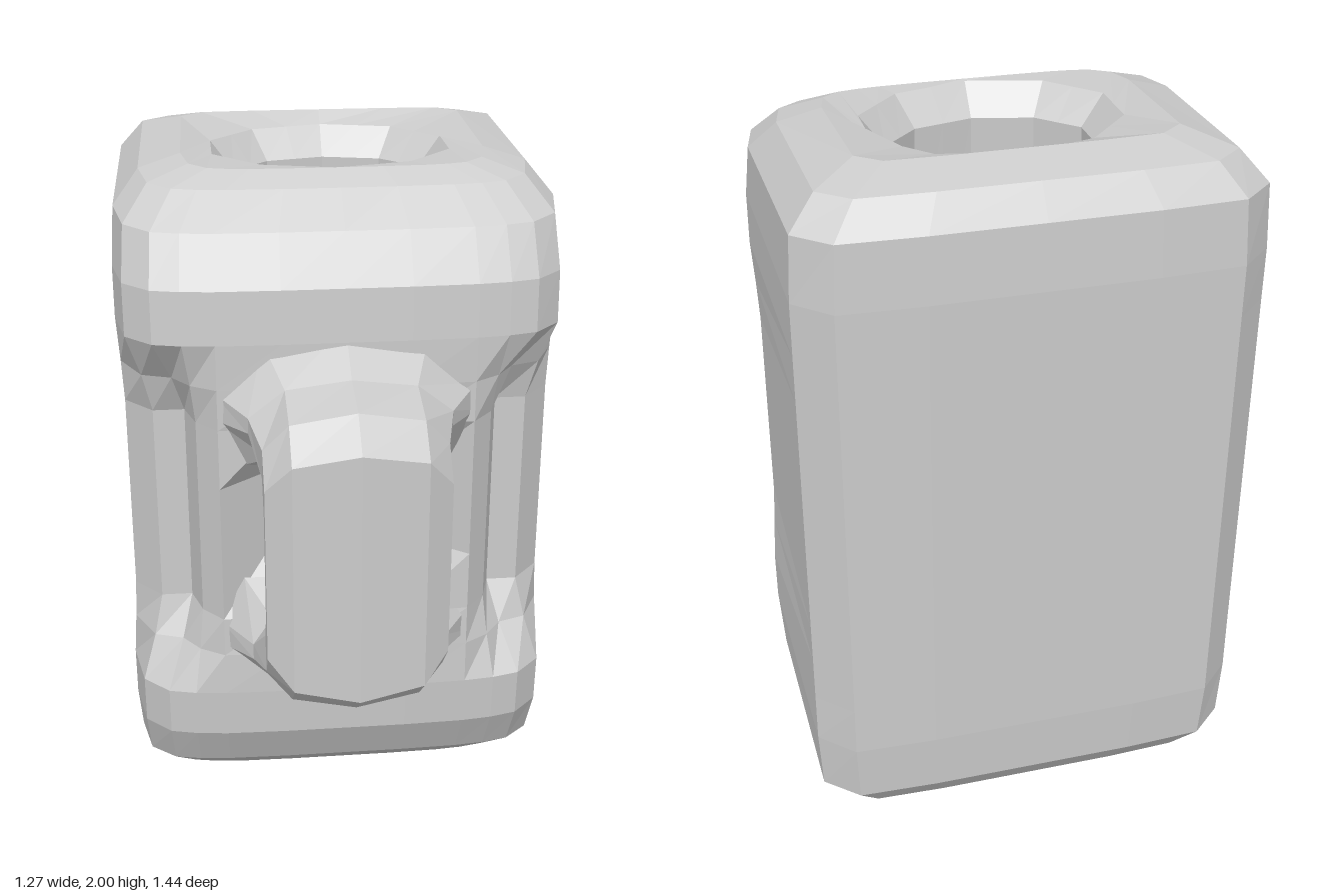
import * as THREE from 'three';

// Skin a list of equal-length rings of [x, y, z]; optionally join last ring to first
function loft(rings, closed) {
  const n = rings[0].length, index = [];
  const last = closed ? rings.length : rings.length - 1;
  for (let r = 0; r < last; r++) {
    const s = (r + 1) % rings.length;
    for (let i = 0; i < n; i++) {
      const j = (i + 1) % n;
      const a = r * n + i, b = r * n + j, c = s * n + j, d = s * n + i;
      index.push(a, b, c, a, c, d);
    }
  }
  const geo = new THREE.BufferGeometry();
  geo.setAttribute('position', new THREE.Float32BufferAttribute(rings.flat(2), 3));
  geo.setIndex(index);
  const flat = geo.toNonIndexed();
  flat.computeVertexNormals();
  return flat;
}

const lerp = THREE.MathUtils.lerp;
const FRONT = 0.36, BACK = -0.72;

// Half sections [x, z] from front centre to back centre
const plain = [[0, .36], [.18, .36], [.36, .355], [.45, .345], [.53, .325], [.605, .25],
  [.635, .08], [.625, -.62], [.53, -.71], [.3, -.72], [0, -.72]];
const grooved = [[0, .15], [.21, .23], [.36, .35], [.42, .28], [.45, .18], [.54, .18],
  [.62, .09], [.625, -.62], [.53, -.71], [.3, -.72], [0, -.72]];

// Mirror a half section of [x, y, z] into a full ring
const mirrorRing = (half) => [
  ...half,
  ...half.slice(1, -1).reverse().map(([x, y, z]) => [-x, y, z]),
];

// Outer ring: groove and finger recess amounts, width scale, front and back limits,
// and tilt drawing the front edge towards mid height
function outerRing({ y, groove = 0, recess = 0, sx = 1, front = FRONT, back = BACK, tilt = 0 }) {
  return mirrorRing(plain.map(([px, pz], i) => {
    const [gx, gz] = grooved[i], t = i < 2 ? recess : groove;
    const x = lerp(px, gx, t);
    const z = lerp(back, front, (lerp(pz, gz, t) - BACK) / (FRONT - BACK));
    return [x * sx, 1 + (y - 1) * (1 - tilt * Math.max(0, z + 0.3)), z];
  }));
}

// Ten-sided ring of the vertical shaft; bump pushes its front wall inward
function shaftRing({ y, rx, rz, bump = 0 }) {
  const half = [];
  for (let i = 0; i <= 10; i++) {
    const a = i * Math.PI / 10, k = i % 2 ? Math.cos(Math.PI / 10) : 1;
    const push = bump * Math.max(0, 1 - i * i / 8);
    half.push([rx * k * Math.sin(a), y, -0.19 + rz * k * Math.cos(a) - push]);
  }
  return mirrorRing(half);
}

// Mirror a list of specs about y = 1
const flipY = (list) => list.map((s) => ({ ...s, y: 2 - s.y })).reverse();

function bodyGeometry() {
  const upper = [
    { y: 1.12, groove: 1, recess: 1 },
    { y: 1.3, groove: 1, recess: 0.15 },
    { y: 1.42, groove: 0.6 },
    { y: 1.55 },
    { y: 1.7, front: 0.35 },
    { y: 1.88, sx: 0.985, front: 0.28, back: -0.71, tilt: 0.08 },
    { y: 1.965, sx: 0.87, front: 0.17, back: -0.65, tilt: 0.08 },
    { y: 2, sx: 0.68, front: 0.1, back: -0.52, tilt: 0.08 },
  ];
  const shaft = [
    { y: 1.965, rx: 0.36, rz: 0.28 },
    { y: 1.88, rx: 0.29, rz: 0.21 },
    { y: 1.4, rx: 0.31, rz: 0.22 },
    { y: 1.1, rx: 0.31, rz: 0.22, bump: 0.18 },
  ];
  return loft([
    ...[...flipY(upper), ...upper].map(outerRing),
    ...[...shaft, ...flipY(shaft)].map(shaftRing),
  ], true);
}

function handleGeometry() {
  // Stations: outer [z, y], inner [z, y], half width, width of outer edge, side chamfer depth
  const top = [
    [[.3, 1.58], [.32, 1.18], .37, .23, .45],
    [[.46, 1.48], [.44, 1.25], .28, .18, .45],
    [[.62, 1.45], [.51, 1.13], .25, .18, .35],
    [[.72, 1.37], [.545, 1.04], .25, .18, .35],
  ];
  const flip = ([z, y]) => [z, 2 - y];
  const stations = [...top, ...top.map(([o, i, ...rest]) => [flip(o), flip(i), ...rest]).reverse()];
  return loft(stations.map(([o, i, w, e, c]) => {
    // Rounded section: [x, position from outer to inner]
    const section = [[0, 0], [-e, .1], [-w, c], [-w, .65], [-.8 * w, 1],
      [.8 * w, 1], [w, .65], [w, c], [e, .1]];
    return section.map(([x, t]) => [x, lerp(o[1], i[1], t), lerp(o[0], i[0], t)]);
  }), false);
}

export function createModel() {
  const group = new THREE.Group();
  const material = new THREE.MeshStandardMaterial({ color: 0xcccccc, flatShading: true });
  const add = (name, geometry) => {
    const mesh = new THREE.Mesh(geometry, material);
    mesh.name = name;
    group.add(mesh);
  };
  add('body', bodyGeometry());
  add('handle', handleGeometry());
  return group;
}
